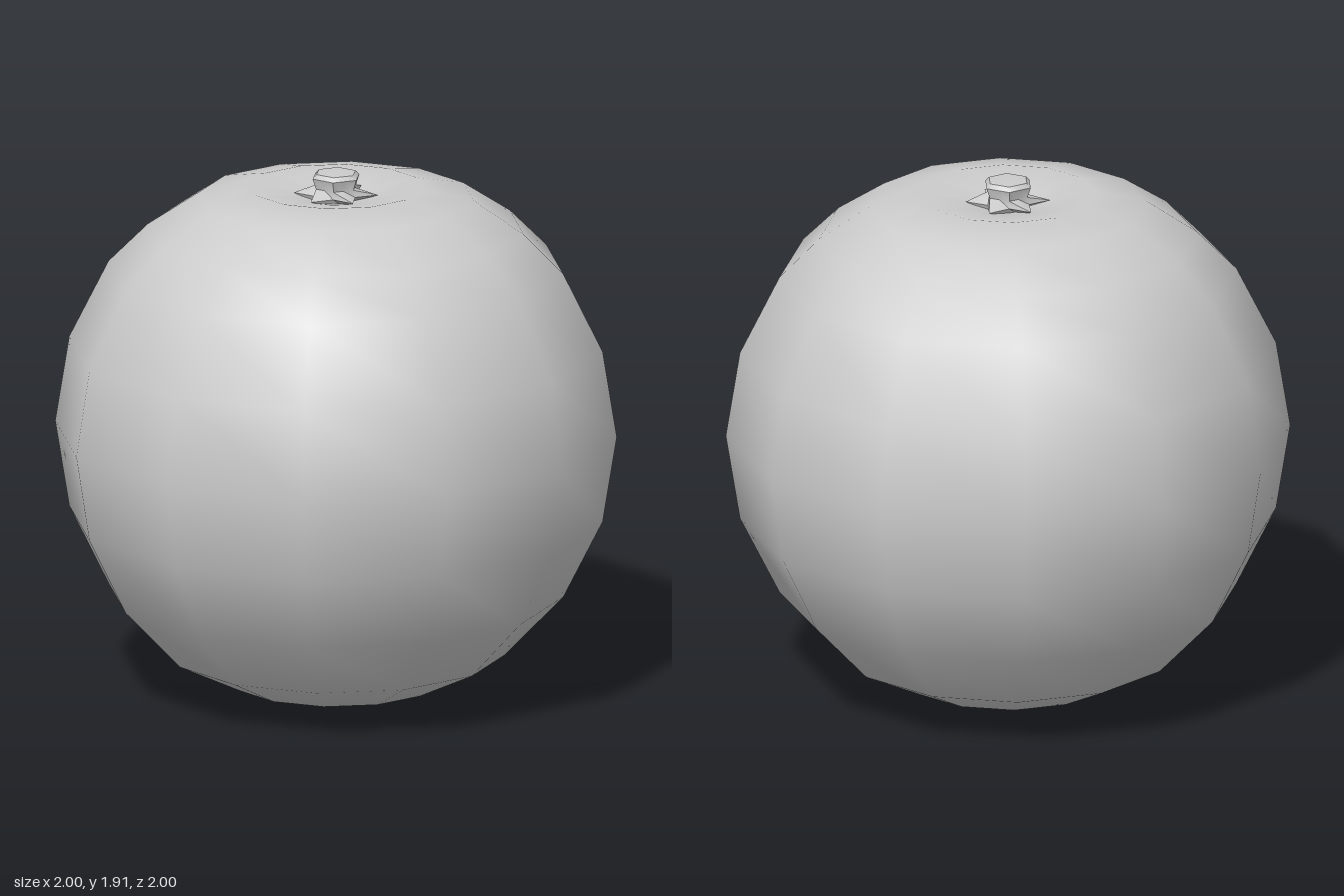
import * as THREE from 'three';
import { toCreasedNormals } from 'three/addons/utils/BufferGeometryUtils.js';

const SIDES = 12;
const material = new THREE.MeshStandardMaterial({ color: 0xcccccc });
const toPoints = (rows) => rows.map(([r, y]) => new THREE.Vector2(r, y));

// Round fruit with a flattened base and a shallow dimple on top
function createFruit() {
  const profile = toPoints([
    [0, 0], [0.15, 0.003], [0.37, 0.05], [0.6, 0.16], [0.81, 0.38], [0.95, 0.66],
    [1, 0.97], [0.95, 1.28], [0.81, 1.56], [0.67, 1.7], [0.49, 1.82],
    [0.31, 1.857], [0.14, 1.825], [0, 1.795],
  ]);
  const fruit = new THREE.Mesh(new THREE.LatheGeometry(profile, SIDES), material);
  fruit.name = 'fruit';
  return fruit;
}

// Hexagonal stem whose foot spreads into six pointed sepals
function createStem() {
  const profile = toPoints([
    [0, 1.79], [0.07, 1.8], [0.085, 1.83], [0.077, 1.855],
    [0.09, 1.893], [0.075, 1.908], [0, 1.912],
  ]);
  const sepalRing = 2;
  const geometry = new THREE.LatheGeometry(profile, SIDES);
  const position = geometry.attributes.position;
  // Even columns lie mid-side: flatten them to a hexagon, or pull them out to sepal tips
  for (let side = 0; side <= SIDES; side += 2) {
    for (let ring = 0; ring < profile.length; ring++) {
      const i = side * profile.length + ring;
      const k = ring === sepalRing ? 0.15 / profile[ring].x : Math.cos(Math.PI / 6);
      position.setX(i, position.getX(i) * k);
      position.setZ(i, position.getZ(i) * k);
    }
  }
  const stem = new THREE.Mesh(toCreasedNormals(geometry, Math.PI / 4), material);
  stem.name = 'stemWithSepals';
  return stem;
}

export function createModel() {
  const model = new THREE.Group();
  model.name = 'roundFruit';
  model.add(createFruit(), createStem());
  return model;
}
